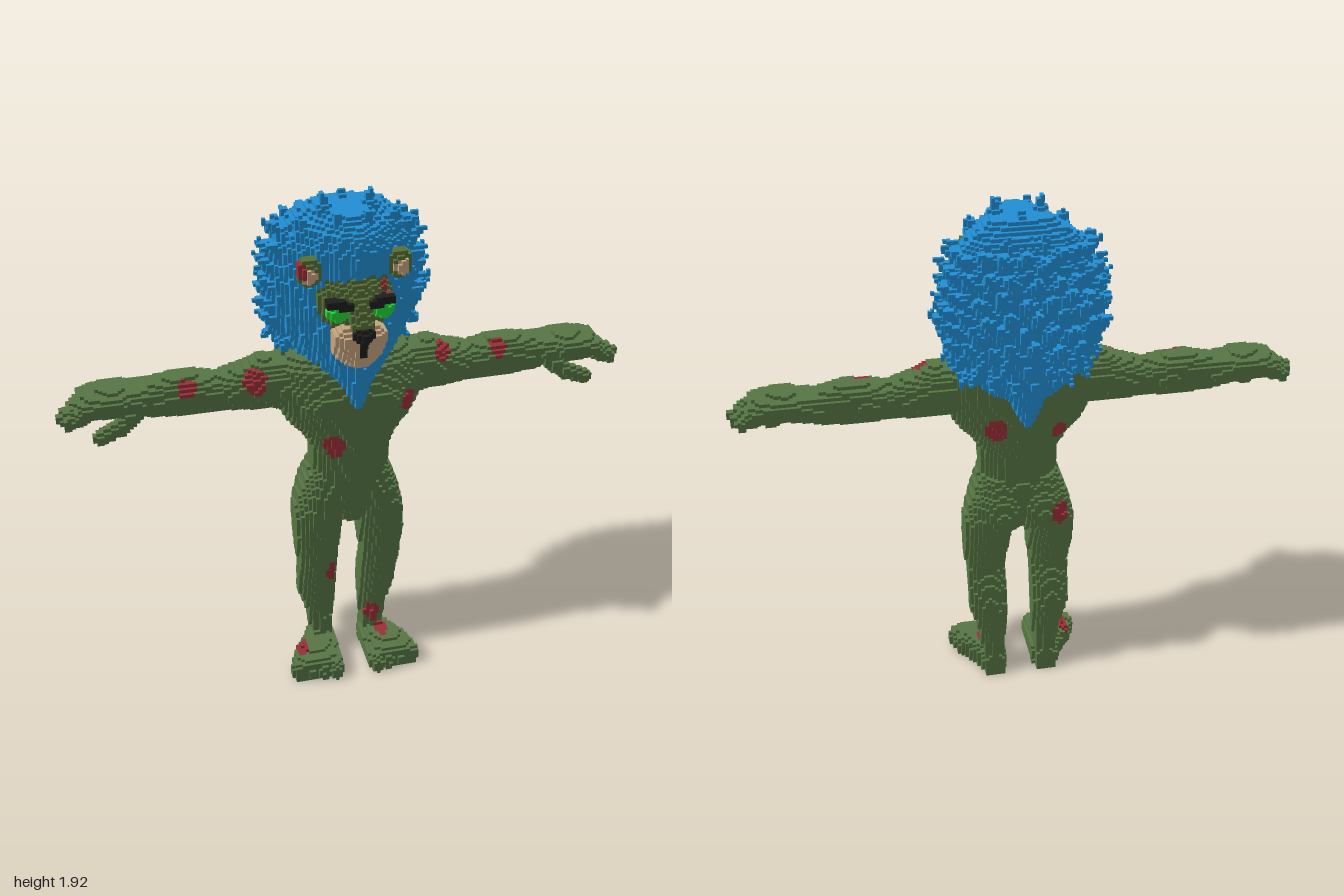
import * as THREE from 'three';

// Voxel figure: solids are stamped into a grid, later parts over earlier ones.
const S = 0.0125, N = [164, 158, 52], O = [-82, 0, -26];
const at = (i, j, k) => (i * N[1] + j) * N[2] + k;
const clamp = (v) => Math.min(1, Math.max(0, v));

function ball(c, r) {
  return {
    min: c.map((v, i) => v - r[i]), max: c.map((v, i) => v + r[i]),
    inside: (p) => p.reduce((s, v, i) => s + ((v - c[i]) / r[i]) ** 2, 0) < 1,
  };
}

// Tapered round bar from a to b
function cone(a, b, ra, rb) {
  const r = Math.max(ra, rb), d = b.map((v, i) => v - a[i]);
  const len2 = d.reduce((s, v) => s + v * v, 0);
  return {
    min: a.map((v, i) => Math.min(v, b[i]) - r), max: a.map((v, i) => Math.max(v, b[i]) + r),
    inside: (p) => {
      const t = clamp(p.reduce((s, v, i) => s + (v - a[i]) * d[i], 0) / len2);
      return Math.hypot(...p.map((v, i) => v - a[i] - d[i] * t)) < ra + (rb - ra) * t;
    },
  };
}

function sample(rows, t) {
  let n = 1;
  while (n < rows.length - 1 && t > rows[n][0]) n++;
  const a = rows[n - 1], b = rows[n], f = clamp((t - a[0]) / (b[0] - a[0]));
  return a.map((v, i) => v + (b[i] - v) * f);
}

// Rounded cross-sections along an axis: [position, centre u, centre v, radius u, radius v]
function loft(axis, rows, power = 2.2) {
  const [u, v] = [[1, 2], [0, 2], [0, 1]][axis];
  const min = [0, 0, 0], max = [0, 0, 0];
  min[axis] = rows[0][0]; max[axis] = rows[rows.length - 1][0];
  [[u, 1], [v, 2]].forEach(([ax, c]) => {
    min[ax] = Math.min(...rows.map((r) => r[c] - r[c + 2]));
    max[ax] = Math.max(...rows.map((r) => r[c] + r[c + 2]));
  });
  return {
    min, max,
    inside: (p) => {
      const r = sample(rows, p[axis]);
      return Math.abs((p[u] - r[1]) / r[3]) ** power + Math.abs((p[v] - r[2]) / r[4]) ** power < 1;
    },
  };
}

const mirror = (s) => ({
  min: [-s.max[0], s.min[1], s.min[2]], max: [-s.min[0], s.max[1], s.max[2]],
  inside: (p) => s.inside([-p[0], p[1], p[2]]),
});
const both = (list) => [...list, ...list.map(mirror)];

let seed = 7;
const rand = () => { seed = (seed * 16807) % 2147483647; return seed / 2147483647; };

// Mane: wedge-fronted volume with grooves, plus rows of pointed locks
function maneSolids() {
  const zc = -0.07; // [y, half width, front z, back z]
  const rows = [[1.27, .11, .17, -.18], [1.32, .17, .185, -.2], [1.45, .245, .185, -.215], [1.55, .262, .165, -.225],
    [1.65, .25, .165, -.23], [1.75, .225, .18, -.205], [1.82, .18, .165, -.16], [1.88, .09, .09, -.08]];
  const solids = [{
    min: [-.3, 1.27, -.27], max: [.3, 1.88, .21],
    inside: ([x, y, z]) => {
      const [, w, f, b] = sample(rows, y), front = z > zc;
      const groove = 1 + 0.02 * Math.sin(Math.atan2(x, z - zc) * 22 + Math.sin(y * 19) * 2);
      const e = front ? 1.5 : 2.5, depth = front ? f - zc : zc - b;
      return Math.abs(x / w / groove) ** e + Math.abs((z - zc) / depth / groove) ** e < 1;
    },
  },
  cone([0, 1.37, .09], [0, 1.23, .175], .1, .018),   // beard
  cone([0, 1.4, -.12], [0, 1.19, -.185], .13, .02)]; // nape
  for (let row = 0; row < 8; row++) {
    for (let n = 0; n < 13; n++) {
      const a = (n + (row % 2) / 2 + rand() * 0.3 - 6.4) * 0.3;
      const y = 1.36 + row * 0.06 + (rand() - 0.5) * 0.03;
      const [, w, , b] = sample(rows, y);
      const sx = Math.sin(a), sz = Math.cos(a);
      const k = (Math.abs(sx) ** 2.5 + Math.abs(sz) ** 2.5) ** (-1 / 2.5);
      const px = w * sx * k, pz = zc + (sz < 0 ? .1 : zc - b) * -sz * k;
      const len = 0.03 + rand() * 0.022, up = row < 2 ? -0.035 : 0.035;
      solids.push(cone([px * 0.85, y - up, zc + (pz - zc) * 0.85],
        [px + sx * len, y + up * 0.6, pz - sz * len], 0.042, 0.006));
    }
  }
  // Crown spikes
  [[.08, 0, 1.915], [0, -.07, 1.9], [.16, .02, 1.86], [.14, -.1, 1.85], [.05, .09, 1.88], [.21, -.03, 1.79], [.06, -.16, 1.84]]
    .forEach(([x, z, y]) => solids.push(...both([cone([x * .8, y - .1, z * .8], [x, y, z], .055, .008)])));
  return solids;
}

function limbs() {
  const leg = loft(1, [[0, .1, -.018, .045, .053], [.12, .1, -.018, .043, .053], [.2, .105, -.02, .05, .051],
    [.3, .115, -.02, .07, .071], [.4, .117, 0, .069, .077], [.48, .12, .025, .071, .077], [.6, .12, .015, .085, .1],
    [.7, .11, 0, .09, .13], [.8, .088, 0, .088, .135], [.9, .065, .015, .072, .115]]);
  const foot = loft(2, [[-.07, .1, .04, .04, .045], [0, .11, .045, .058, .065], [.08, .14, .04, .088, .062],
    [.15, .15, .035, .1, .055], [.17, .15, .03, .092, .045]], 2.6);
  const toes = [0, 1, 2, 3].map((n) => ball([.082 + n * .046, .032, .162 - n * .007], [.028, .045, .04]));
  const arm = loft(0, [[.2, 1.25, 0, .09, .1], [.28, 1.255, -.005, .088, .095], [.36, 1.245, -.01, .076, .088],
    [.45, 1.235, -.012, .058, .078], [.53, 1.24, -.018, .07, .08], [.6, 1.242, -.015, .073, .075],
    [.7, 1.238, -.02, .054, .075], [.75, 1.245, -.018, .047, .085], [.8, 1.254, -.012, .046, .092],
    [.88, 1.25, -.013, .042, .088], [.93, 1.235, -.01, .04, .085]]);
  const fingers = [0, 1, 2, 3].map((n) => cone([.9, 1.24, -.065 + n * .037],
    [[.95, .97, .98, .96][n], 1.208, -.06 + n * .036], .03, .02));
  const thumb = [cone([.74, 1.215, .04], [.8, 1.175, .06], .03, .028), cone([.8, 1.175, .06], [.86, 1.15, .062], .026, .024)];
  return { leg: [leg], foot: [foot, ...toes], arm: [arm, ball([.29, 1.26, -.005], [.08, .088, .095])], hand: [...fingers, ...thumb] };
}

export function createModel() {
  const mat = (name, color) => {
    const m = new THREE.MeshStandardMaterial({ color });
    m.name = name;
    return m;
  };
  const skin = mat('green skin', 0x587745), face = mat('olive face', 0x586f38), blue = mat('blue mane', 0x2190d6);
  const tan = mat('tan muzzle', 0xc8a680), black = mat('black', 0x1e1e1e), eye = mat('bright green eye', 0x22d838);
  const red = mat('red patch', 0x9a3038);

  const torso = loft(1, [[.69, 0, .02, .06, .09], [.8, 0, .01, .15, .125], [.9, 0, .02, .137, .125], [1, 0, .025, .14, .13],
    [1.06, 0, .015, .17, .143], [1.12, 0, .01, .225, .15], [1.17, 0, .008, .25, .155], [1.25, 0, 0, .27, .157],
    [1.32, 0, -.015, .26, .142], [1.355, 0, -.02, .2, .1]], 2.3);
  const muscles = both([ball([.075, .77, -.06], [.085, .1, .086]), ball([.09, 1.2, .09], [.11, .07, .078])]);
  const l = limbs();
  const bodyPatches = [[-.08, 1.04, .15, .04, .05], [.19, 1.18, .13, .035, .045], [-.33, 1.29, .06, .04, .045],
    [-.56, 1.29, .05, .032, .03], [.33, 1.31, .04, .032, .03], [.54, 1.295, .04, .032, .03], [-.075, .43, .09, .022, .055],
    [.095, .17, .035, .03, .045], [.125, .1, .05, .025, .02], [.1, 1.13, -.14, .04, .05], [-.13, 1.1, -.13, .035, .035],
    [-.13, .76, -.1, .04, .045], [-.2, .09, .08, .03, .025]]
    .map(([x, y, z, rx, ry]) => ball([x, y, z], [rx, ry, .05]));
  const facePatches = [ball([.1, 1.65, .165], [.025, .025, .04]), ball([-.18, 1.715, .12], [.025, .03, .04])];

  // [name, material, solids, paint only]
  const parts = [
    ['torso', skin, [torso, ...muscles]],
    ['legs', skin, both(l.leg)], ['feet', skin, both(l.foot)],
    ['arms', skin, both(l.arm)], ['hands', skin, both(l.hand)],
    ['bodyPatches', red, bodyPatches, true],
    ['mane', blue, maneSolids()],
    ['head', face, [ball([0, 1.59, .08], [.13, .13, .12])]],
    ['muzzle', tan, [ball([0, 1.46, .15], [.09, .085, .085]), ball([0, 1.415, .155], [.068, .035, .07]),
      ...both([ball([.04, 1.49, .18], [.05, .05, .06])])]],
    ['noseBridge', face, [cone([0, 1.64, .15], [0, 1.55, .22], .05, .034)]],
    ['ears', face, both([ball([.15, 1.705, .105], [.042, .05, .035])])],
    ['innerEars', tan, both([ball([.152, 1.7, .132], [.022, .03, .017])])],
    ['eyes', eye, both([ball([.072, 1.588, .183], [.038, .03, .032])])],
    ['brows', black, both([cone([.04, 1.612, .2], [.098, 1.626, .192], .018, .018)])],
    ['nose', black, [ball([0, 1.525, .245], [.035, .025, .027]), cone([0, 1.51, .235], [0, 1.45, .231], .02, .009)]],
    ['facePatches', red, facePatches, true],
  ];

  const grid = new Uint8Array(N[0] * N[1] * N[2]);
  parts.forEach(([, , solids, paint], id) => solids.forEach((s) => {
    const lo = s.min.map((v, i) => Math.max(1, Math.floor(v / S) - O[i] - 1)); 
    lo[1] = Math.max(0, Math.floor(s.min[1] / S));
    const hi = s.max.map((v, i) => Math.min(N[i] - 2, Math.ceil(v / S) - O[i]));
    for (let i = lo[0]; i <= hi[0]; i++) for (let j = lo[1]; j <= hi[1]; j++) for (let k = lo[2]; k <= hi[2]; k++) {
      const p = [i, j, k].map((v, a) => (v + O[a] + 0.5) * S), c = at(i, j, k);
      const inBox = p.every((v, a) => v >= s.min[a] && v <= s.max[a]);
      if (inBox && (!paint || (grid[c] && parts[grid[c] - 1][1] !== blue)) && s.inside(p)) grid[c] = id + 1;
    }
  }));

  // Exposed voxel faces, joined into strips
  const pos = parts.map(() => []), nor = parts.map(() => []);
  const get = (c) => (c.some((v, a) => v < 0 || v >= N[a]) ? 0 : grid[at(...c)]);
  for (let d = 0; d < 3; d++) for (const sign of [1, -1]) {
    const u = (d + 1) % 3, v = (d + 2) % 3, c = [0, 0, 0], n = [0, 0, 0];
    n[d] = sign;
    const open = () => {
      const id = get(c);
      if (!id) return 0;
      c[d] += sign;
      const hidden = get(c);
      c[d] -= sign;
      return hidden ? 0 : id;
    };
    for (let a = 0; a < N[d]; a++) for (let b = 0; b < N[v]; b++) {
      let start = 0, run = 0;
      for (let e = 0; e <= N[u]; e++) {
        c[d] = a; c[v] = b; c[u] = e;
        const id = e < N[u] ? open() : 0;
        if (id === run) continue;
        if (run) {
          const corner = (cu, cv) => {
            const q = [0, 0, 0];
            q[d] = a + (sign > 0 ? 1 : 0); q[u] = cu; q[v] = cv;
            return q.map((t, i) => (t + O[i]) * S);
          };
          const q = [corner(start, b), corner(e, b), corner(e, b + 1), corner(start, b + 1)];
          (sign > 0 ? [0, 1, 2, 0, 2, 3] : [0, 2, 1, 0, 3, 2]).forEach((i) => {
            pos[run - 1].push(...q[i]);
            nor[run - 1].push(...n);
          });
        }
        start = e; run = id;
      }
    }
  }

  const model = new THREE.Group();
  model.name = 'figure';
  parts.forEach(([name, material], i) => {
    if (!pos[i].length) return;
    const g = new THREE.BufferGeometry();
    g.setAttribute('position', new THREE.Float32BufferAttribute(pos[i], 3));
    g.setAttribute('normal', new THREE.Float32BufferAttribute(nor[i], 3));
    const mesh = new THREE.Mesh(g, material);
    mesh.name = name;
    model.add(mesh);
  });
  return model;
}
